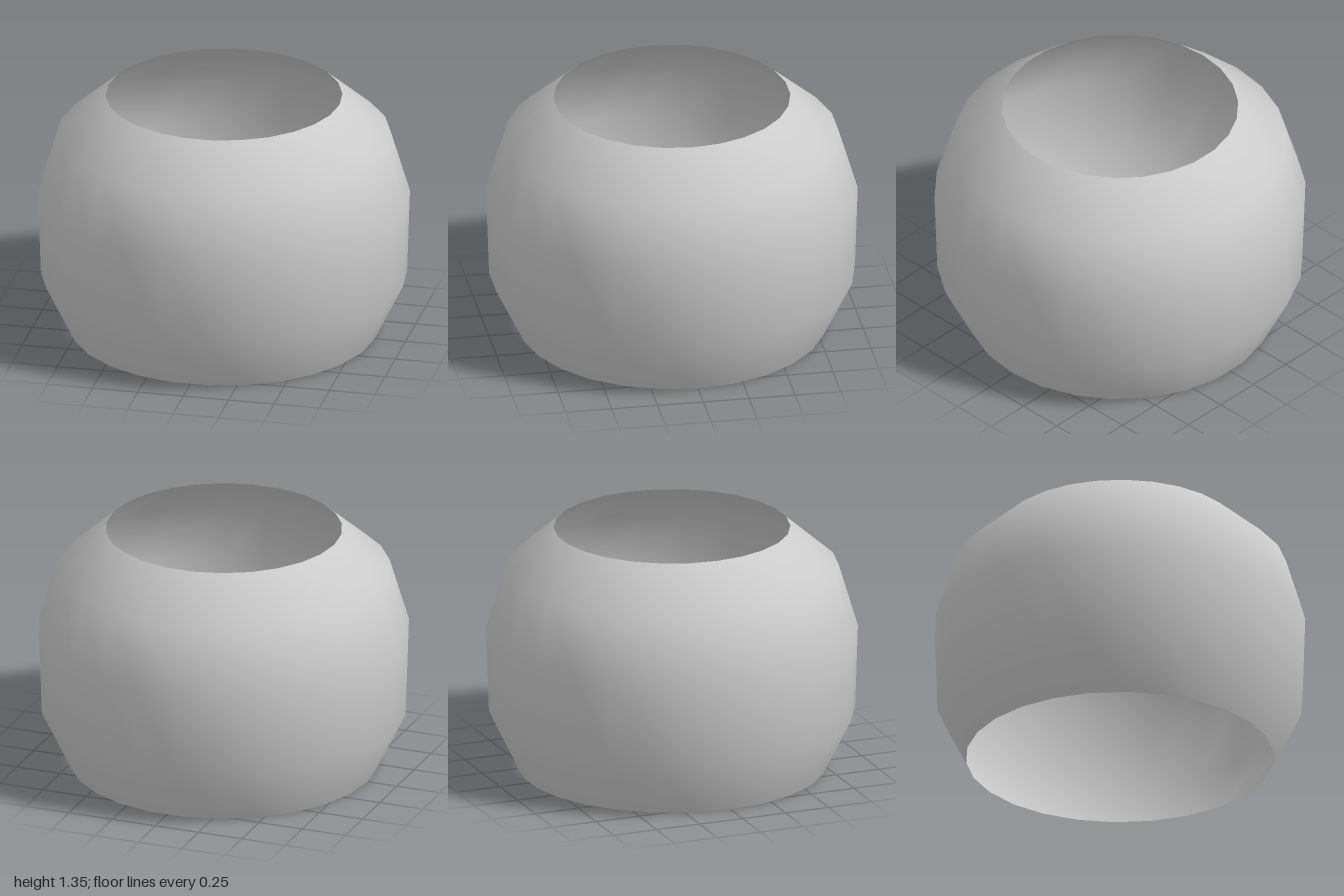
import * as THREE from 'three';

export function createModel() {
  const group = new THREE.Group();

  // Open, thin-walled bowl: five-ring profile turned in 26 steps, corner on the x axis
  const profile = [
    [0.83, 0], [0.985, 0.317], [1, 0.78], [0.897, 1.123], [0.637, 1.348],
  ].map(([r, y]) => new THREE.Vector2(r, y));

  const shell = new THREE.Mesh(
    new THREE.LatheGeometry(profile, 26, Math.PI / 2),
    new THREE.MeshStandardMaterial({ color: 0xcccccc, side: THREE.DoubleSide })
  );
  shell.name = 'openShell';
  group.add(shell);

  return group;
}
